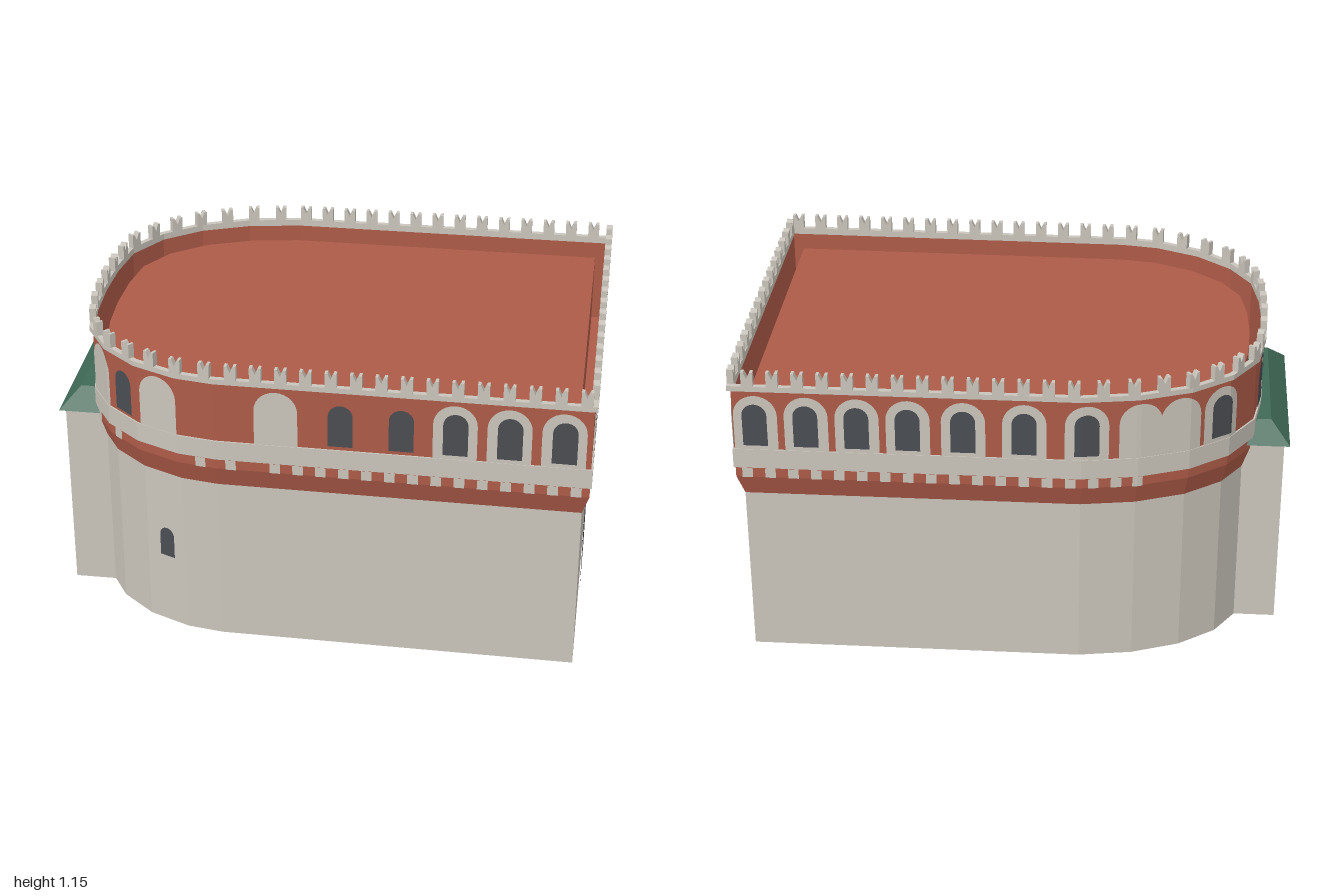
import * as THREE from 'three';

const mat = (name, color, side = THREE.DoubleSide) => {
  const m = new THREE.MeshStandardMaterial({ color, side });
  m.name = name;
  return m;
};

// Plan of the upper wall (x, z): square on the right, rounded on the left
const PLAN = [[0.986, 0.685], [-0.35, 0.668], [-0.49, 0.645], [-0.65, 0.575], [-0.78, 0.465], [-0.86, 0.335],
  [-0.888, 0.17], [-0.895, 0], [-0.888, -0.17], [-0.862, -0.335], [-0.77, -0.48], [-0.63, -0.585],
  [-0.45, -0.655], [-0.25, -0.688], [0.986, -0.688]].map(p => new THREE.Vector2(...p));
const N = PLAN.length;
const SEG = PLAN.map((p, i) => {
  const t = PLAN[(i + 1) % N].clone().sub(p), len = t.length();
  t.divideScalar(len);
  return { t, len, n: new THREE.Vector2(t.y, -t.x) };
});
const START = SEG.map((_, i) => SEG.slice(0, i).reduce((a, s) => a + s.len, 0));
const TOTAL = START[N - 1] + SEG[N - 1].len;

// Plan moved outwards with mitred corners
const offsetPlan = d => PLAN.map((p, i) => {
  const a = SEG[(i + N - 1) % N].n, b = SEG[i].n;
  return p.clone().addScaledVector(a.clone().add(b), d / (1 + a.dot(b)));
});
const ring = (d, y) => {
  const r = offsetPlan(d).map(p => new THREE.Vector3(p.x, y, p.y));
  return [...r, r[0]];
};
// Segment index at a distance along the plan
const segAt = s => {
  let i = N - 1;
  while (i > 0 && START[i] > s) i--;
  return i;
};
const pointAt = (s, d, y) => {
  s = (s + TOTAL) % TOTAL;
  const i = segAt(s), r = offsetPlan(d);
  const p = r[i].clone().lerp(r[(i + 1) % N], (s - START[i]) / SEG[i].len);
  return new THREE.Vector3(p.x, y, p.y);
};
// Distance along the plan nearest to a point
const along = (x, z) => {
  let best = 0, min = Infinity;
  PLAN.forEach((p, i) => {
    const q = new THREE.Vector2(x, z);
    const u = THREE.MathUtils.clamp(q.clone().sub(p).dot(SEG[i].t), 0, SEG[i].len);
    const d = q.distanceTo(p.clone().addScaledVector(SEG[i].t, u));
    if (d < min) { min = d; best = START[i] + u; }
  });
  return best;
};

// Flat-shaded skin over rows of points, lowest row first
function skin(rows) {
  const pts = [];
  for (let r = 0; r < rows.length - 1; r++) {
    const a = rows[r], b = rows[r + 1];
    for (let i = 0; i < a.length - 1; i++) pts.push(a[i + 1], a[i], b[i], a[i + 1], b[i], b[i + 1]);
  }
  const g = new THREE.BufferGeometry().setFromPoints(pts);
  g.computeVertexNormals();
  return g;
}
const loft = profile => skin(profile.map(([d, y]) => ring(d, y)));

// Panel that follows the wall, with a round or flat head
function panel(s, half, y0, spring, d, round = true) {
  const low = [], high = [], steps = 14;
  for (let i = 0; i <= steps; i++) {
    const a = Math.PI * i / steps, u = -half * Math.cos(a);
    low.push(pointAt(s + u, d, y0));
    high.push(pointAt(s + u, d, spring + (round ? half * Math.sin(a) : 0)));
  }
  return skin([low, high]);
}

function slab(d, y) {
  const g = new THREE.ShapeGeometry(new THREE.Shape(offsetPlan(d).map(p => new THREE.Vector2(p.x, -p.y))));
  return g.rotateX(-Math.PI / 2).translate(0, y, 0);
}

// Gate outline with a many-sided arch
function arch(half, height) {
  const k = half / 0.17, base = height - 0.185 * k;
  const side = [[0.17, 0], [0.148, 0.1], [0.085, 0.162]].map(([x, y]) => [x * k, base + y * k]);
  const pts = [[half, 0], ...side, [0, height], ...side.slice().reverse().map(([x, y]) => [-x, y]), [-half, 0]];
  return pts.map(p => new THREE.Vector2(...p));
}

export function createModel() {
  const stone = mat('pale stone', 0xcac5bb), red = mat('brick red', 0xae5b48);
  const dark = mat('dark opening', 0x4a4d52), green = mat('green roof', 0x406a57);
  const model = new THREE.Group();
  model.name = 'gateTower';
  const add = (name, geo, m, parent = model) => {
    const mesh = new THREE.Mesh(geo, m);
    mesh.name = name;
    parent.add(mesh);
    return mesh;
  };
  const group = name => {
    const g = new THREE.Group();
    g.name = name;
    model.add(g);
    return g;
  };

  // Walls from the ground up
  add('lowerWall', loft([[-0.024, 0], [-0.024, 0.65]]), stone);
  add('flare', loft([[-0.024, 0.65], [0, 0.73], [0, 0.77]]), red);
  add('stoneBand', loft([[0, 0.77], [0.006, 0.77], [0.006, 0.845], [0, 0.845]]), stone);
  add('upperWall', loft([[0, 0.845], [0, 1.08]]), red);
  add('wallLining', loft([[-0.004, 0.745], [-0.004, 1.08]]), red);
  add('cornice', loft([[0, 1.075], [0.012, 1.08], [0.012, 1.1], [-0.008, 1.1], [-0.008, 1.075]]), stone);

  // Ceiling and the inset roof block
  add('ceiling', slab(-0.002, 0.745), red);
  add('roofDeck', slab(-0.05, 1.03), red);
  add('roofSides', loft([[-0.05, 0.745], [-0.05, 1.03]]), red);

  // Upper windows: w = surround and window, b = blank arch, o = window alone
  const openings = group('upperWindows');
  const upper = [
    ...[['w', 0.885], ['w', 0.695], ['w', 0.505], ['o', 0.315], ['o', 0.1], ['b', -0.13]].map(([k, x]) => [k, x, 0.68]),
    ['b', -0.565, 0.615], ['o', -0.705, 0.53], ['b', -0.815, 0.41],
    ['o', -0.88, 0.22], ['o', -0.895, 0.06], ['w', -0.895, -0.08], ['o', -0.88, -0.24],
    ['w', -0.74, -0.5], ['b', -0.6, -0.6], ['b', -0.46, -0.655],
    ...[-0.27, -0.05, 0.165, 0.36, 0.54, 0.72, 0.9].map(x => ['w', x, -0.688]),
    ...[['w', 0.605], ['w', 0.43], ['w', 0.26], ['b', 0.09], ['w', -0.255], ['o', -0.43], ['w', -0.6]].map(([k, z]) => [k, 0.986, z]),
  ];
  for (const [kind, x, z] of upper) {
    const s = along(x, z);
    if (kind !== 'o') add('archSurround', panel(s, 0.078, 0.845, 0.982, 0.004), stone, openings);
    if (kind !== 'b') add('archWindow', panel(s, 0.044, 0.862, 0.983, 0.007), dark, openings);
  }
  add('lowerWindow', panel(along(-0.565, 0.615), 0.032, 0.29, 0.38, -0.019), dark);

  // Stone blocks below the band
  const blocks = group('stoneBlocks');
  const row = (a, b, step) => Array.from({ length: Math.round((b - a) / step) + 1 }, (_, i) => a + i * step);
  const blockSpots = [
    ...[-0.41, -0.295, ...row(-0.135, 0.94, 0.0823)].map(x => [x, 0.68]),
    [-0.74, 0.5], [-0.84, 0.37],
    ...[0.57, 0.245, 0.16, 0.08, 0, -0.08, -0.16, -0.405, -0.485].map(z => [0.986, z]),
    ...row(-0.46, 0.94, 0.0823).map(x => [x, -0.69]),
  ];
  for (const [x, z] of blockSpots) add('block', panel(along(x, z), 0.019, 0.73, 0.768, 0.004, false), stone, blocks);

  // Swallow-tailed merlons
  const merlons = group('merlons');
  const tail = new THREE.Shape([[-0.021, 0], [0.021, 0], [0.021, 0.055], [0.011, 0.055], [0, 0.03],
    [-0.011, 0.055], [-0.021, 0.055]].map(p => new THREE.Vector2(...p)));
  const merlonGeo = new THREE.ExtrudeGeometry(tail, { depth: 0.024, bevelEnabled: false }).translate(0, 0, -0.012);
  const merlon = s => {
    const m = add('merlon', merlonGeo, stone, merlons);
    m.position.copy(pointAt(s, 0, 1.1));
    const { n } = SEG[segAt(s)];
    m.rotation.y = Math.atan2(n.x, n.y);
  };
  const curveStart = START[1], curveEnd = START[N - 2];
  const fill = (a, b, step) => {
    const count = Math.round((b - a) / step);
    for (let i = 0; i < count; i++) merlon(a + (i + 0.3) * (b - a) / count);
  };
  fill(0, curveStart, 0.09);
  fill(curveStart, curveEnd, 0.11);
  fill(curveEnd, START[N - 1], 0.09);
  fill(START[N - 1], TOTAL, 0.09);

  // Right-hand gate
  const rightGate = add('rightGate', new THREE.ShapeGeometry(new THREE.Shape(arch(0.17, 0.495))), dark);
  rightGate.rotation.y = Math.PI / 2;
  rightGate.position.x = 0.967;

  // Gatehouse on the left with a recessed arch and hipped roof
  const house = group('gatehouse');
  add('gatehouseBody', new THREE.BoxGeometry(0.145, 0.75, 0.69).translate(-0.8925, 0.375, 0), stone, house);
  const front = new THREE.Shape([[-0.345, 0], [-0.345, 0.75], [0.345, 0.75], [0.345, 0]]
    .map(p => new THREE.Vector2(...p)).concat(arch(0.25, 0.56)));
  const facade = add('gatehouseFront', new THREE.ExtrudeGeometry(front, { depth: 0.015, bevelEnabled: false }), stone, house);
  facade.rotation.y = -Math.PI / 2;
  facade.position.x = -0.965;
  const leftGate = add('leftGate', new THREE.ShapeGeometry(new THREE.Shape(arch(0.2, 0.5))), dark, house);
  leftGate.rotation.y = -Math.PI / 2;
  leftGate.position.x = -0.969;
  const roof = new THREE.BoxGeometry(0.19, 0.07, 0.74).toNonIndexed();
  const p = roof.attributes.position;
  for (let i = 0; i < p.count; i++) {
    if (p.getY(i) > 0) p.setXYZ(i, p.getX(i) * 0.26, p.getY(i), p.getZ(i) * 0.79);
  }
  roof.computeVertexNormals();
  add('gatehouseRoof', roof.translate(-0.905, 0.786, 0), green, house);

  return model;
}
